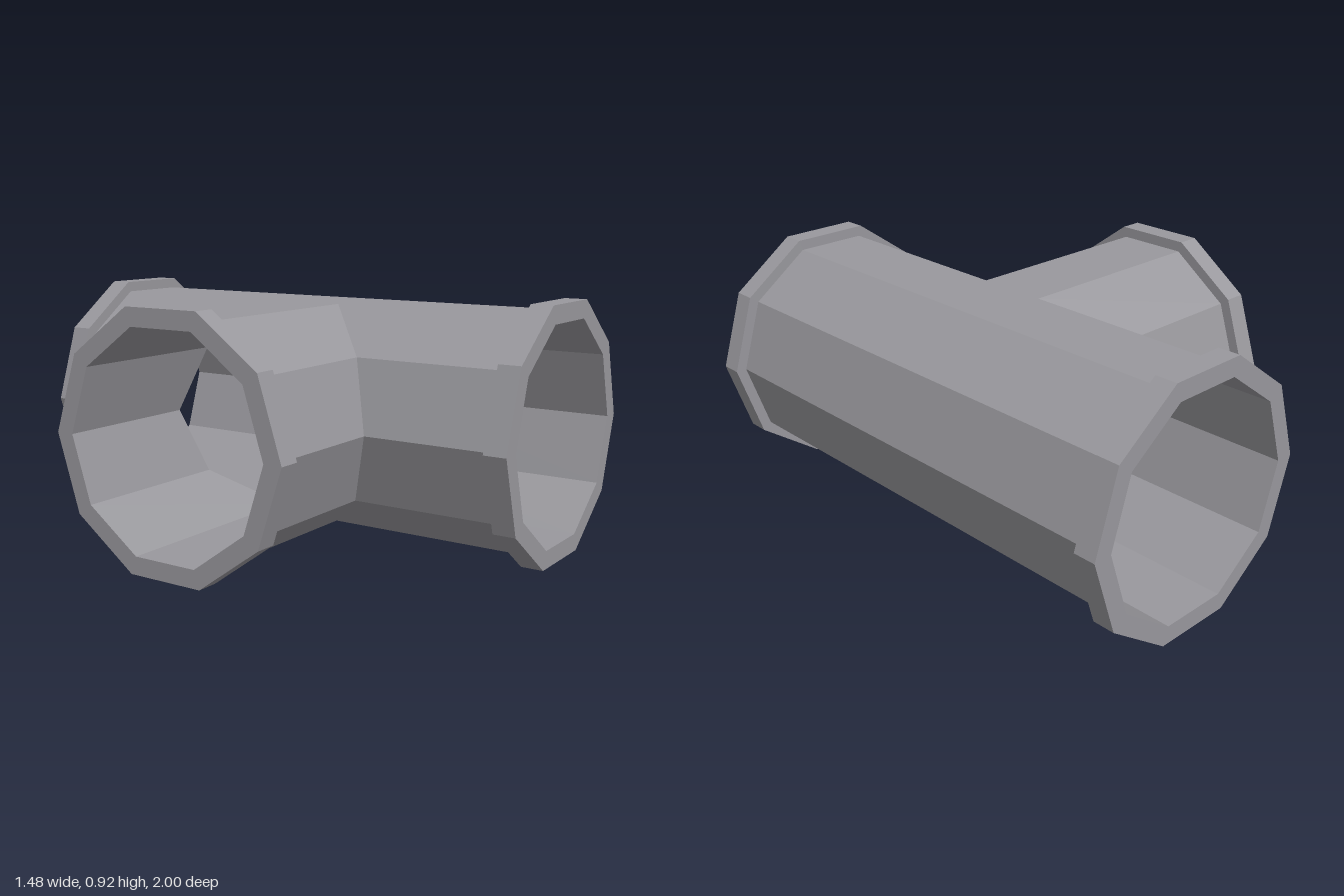
import * as THREE from 'three';

const SIDES = 10;
const PIPE_R = 0.444, RIM_R = 0.486, BORE_R = 0.416, RIM_DEPTH = 0.083;
const CENTRE_X = 0.255, CENTRE_Y = 0.462;

// Unit decagon with extra points in the middle of the top and bottom sides,
// where the mitre cut changes direction
function unitSection() {
  const points = [];
  for (let i = 0; i < SIDES; i++) {
    const a = (i / SIDES) * Math.PI * 2;
    points.push([Math.cos(a), Math.sin(a)]);
    const mid = a + Math.PI / SIDES;
    if (Math.abs(Math.cos(mid)) < 1e-6) {
      points.push([0, Math.sin(mid) * Math.cos(Math.PI / SIDES)]);
    }
  }
  return points;
}

// One hollow arm along +z: outer wall, flange, end face and bore.
// cut(u) gives the depth at which the walls meet the other arms.
function armGeometry(length, cut) {
  const section = unitSection();
  const profile = [
    [PIPE_R, null], [PIPE_R, length - RIM_DEPTH],
    [RIM_R, length - RIM_DEPTH], [RIM_R, length],
    [BORE_R, length], [BORE_R, null],
  ];
  const corner = (i, j) => {
    const [u, v] = section[i % section.length];
    const [r, z] = profile[j];
    return [u * r, v * r, z === null ? cut(u * r) : z];
  };
  const positions = [];
  for (let j = 0; j < profile.length - 1; j++) {
    for (let i = 0; i < section.length; i++) {
      const a = corner(i, j), b = corner(i + 1, j);
      const c = corner(i + 1, j + 1), d = corner(i, j + 1);
      positions.push(...a, ...b, ...c, ...a, ...c, ...d);
    }
  }
  const geometry = new THREE.BufferGeometry();
  geometry.setAttribute('position', new THREE.Float32BufferAttribute(positions, 3));
  geometry.computeVertexNormals();
  return geometry;
}

export function createModel() {
  const group = new THREE.Group();
  group.name = 'teePipe';

  const metal = new THREE.MeshStandardMaterial({ color: 0x99989d, flatShading: true, side: THREE.DoubleSide });
  metal.name = 'grey metal';

  // Two straight arms of the main pipe and the side branch, mitred together
  const arms = [
    ['frontArm', 1, 0, u => Math.max(0, -u)],
    ['backArm', 1, Math.PI, u => Math.max(0, u)],
    ['sideBranch', 0.996, -Math.PI / 2, u => Math.abs(u)],
  ];
  for (const [name, length, turn, cut] of arms) {
    const arm = new THREE.Mesh(armGeometry(length, cut), metal);
    arm.name = name;
    arm.rotation.y = turn;
    arm.position.set(CENTRE_X, CENTRE_Y, 0);
    group.add(arm);
  }
  return group;
}
